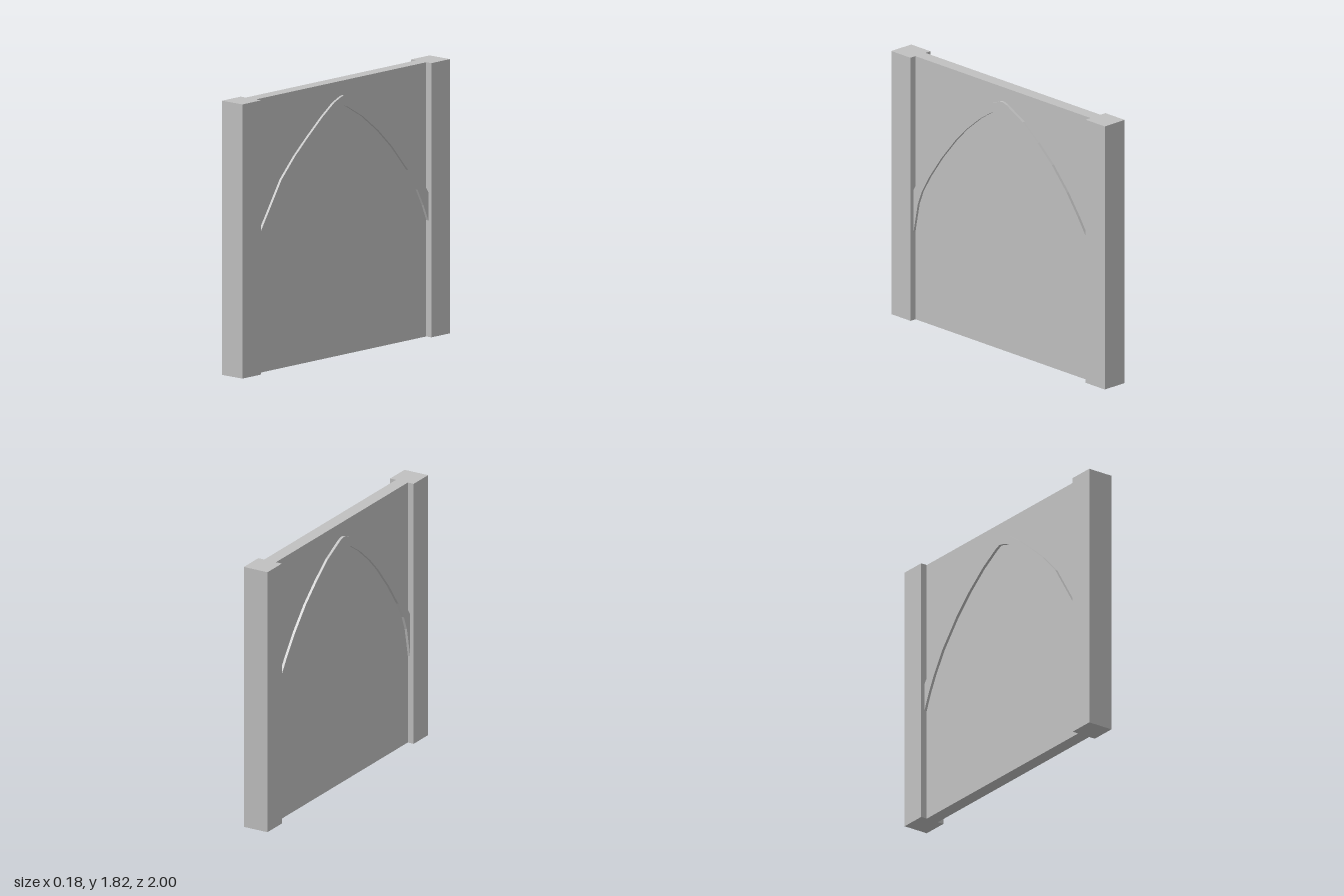
import * as THREE from 'three';

const HEIGHT = 1.82;
const POST_INNER = 0.82;

// Rib outlines as [z, y], running from the front post to the back post
const OUTER = [
  [0.82, 0.9], [0.775, 0.97], [0.695, 1.095], [0.594, 1.254], [0.46, 1.393], [0.342, 1.495],
  [0.198, 1.612], [0.086, 1.69], [0.016, 1.72], [-0.01, 1.724], [-0.048, 1.713], [-0.203, 1.634],
  [-0.342, 1.527], [-0.476, 1.409], [-0.615, 1.254], [-0.717, 1.115], [-0.82, 0.96],
];
const INNER = [
  [0.82, 0.607], [0.8, 0.71], [0.78, 0.81], [0.743, 0.906], [0.674, 1.024], [0.56, 1.185],
  [0.422, 1.35], [0.326, 1.447], [0.198, 1.554], [0.08, 1.632], [0.016, 1.652], [-0.01, 1.656],
  [-0.043, 1.645], [-0.19, 1.559], [-0.342, 1.441], [-0.476, 1.313], [-0.626, 1.136],
  [-0.717, 0.992], [-0.775, 0.88], [-0.82, 0.773],
];

export function createModel() {
  const group = new THREE.Group();
  group.name = 'archedWallPanel';
  const stone = new THREE.MeshStandardMaterial({ color: 0xc0c0c0, flatShading: true });
  stone.name = 'greyStone';

  const add = (name, geometry) => {
    const mesh = new THREE.Mesh(geometry, stone);
    mesh.name = name;
    group.add(mesh);
    return mesh;
  };

  // Thin wall between the posts
  add('wall', new THREE.BoxGeometry(0.09, HEIGHT, POST_INNER * 2)).position.y = HEIGHT / 2;

  // Square end posts
  for (const [name, side] of [['frontPost', 1], ['backPost', -1]]) {
    const post = add(name, new THREE.BoxGeometry(0.18, HEIGHT, 1 - POST_INNER));
    post.position.set(0, HEIGHT / 2, side * (1 + POST_INNER) / 2);
  }

  // Pointed arch rib, standing proud of the wall on both faces
  const outline = [...OUTER, ...[...INNER].reverse()].map(([z, y]) => new THREE.Vector2(-z, y));
  const depth = 0.126;
  const rib = new THREE.ExtrudeGeometry(new THREE.Shape(outline), { depth, bevelEnabled: false });
  rib.translate(0, 0, -depth / 2);
  rib.rotateY(Math.PI / 2);
  add('archRib', rib);

  return group;
}
